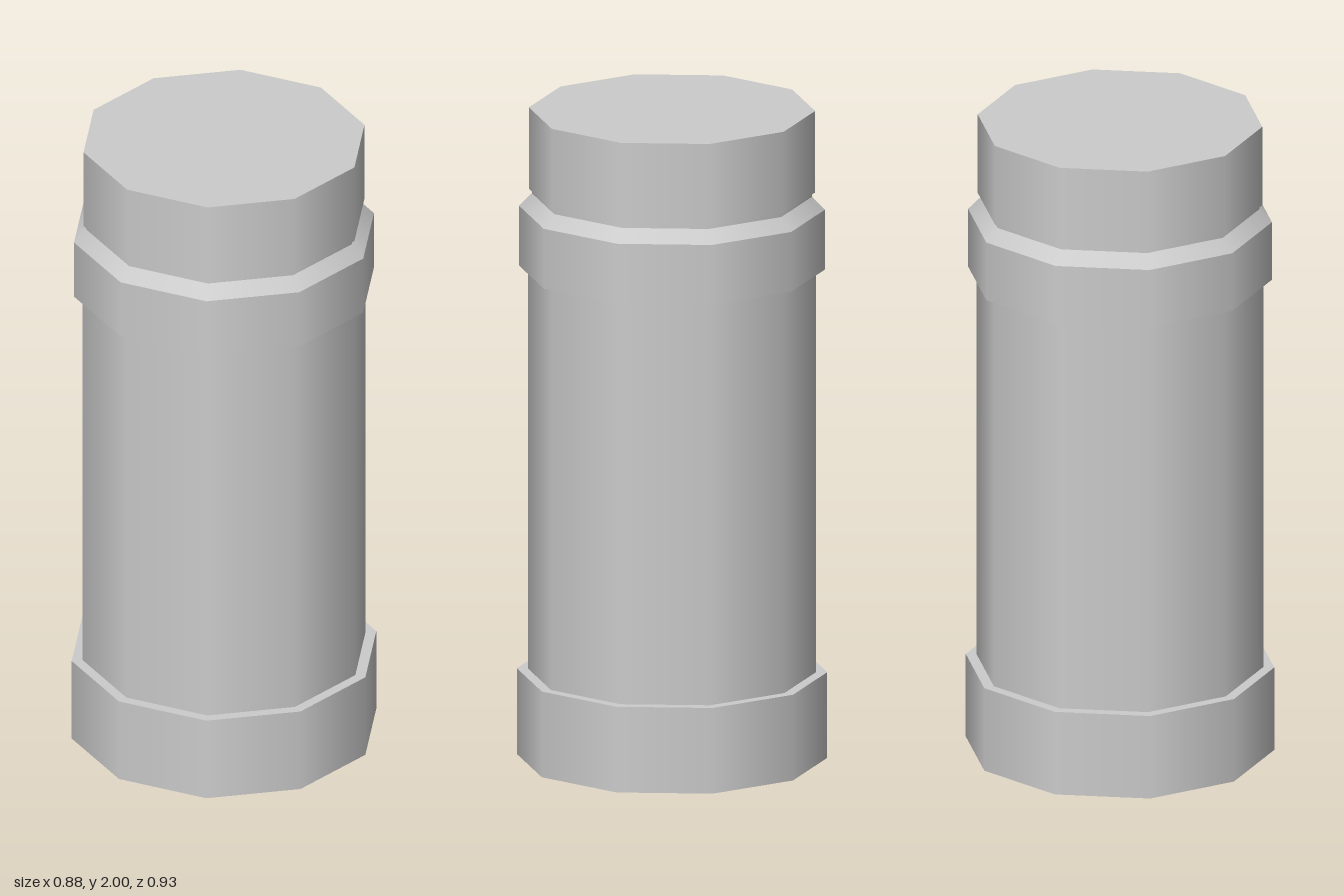
import * as THREE from 'three';

const SIDES = 10;
const material = new THREE.MeshStandardMaterial({ color: 0xcccccc });

// One ten-sided section of the column, with a corner facing the front
function section(name, bottom, top, bottomRadius, topRadius = bottomRadius) {
  const geometry = new THREE.CylinderGeometry(topRadius, bottomRadius, top - bottom, SIDES);
  const mesh = new THREE.Mesh(geometry, material);
  mesh.name = name;
  mesh.position.y = (bottom + top) / 2;
  return mesh;
}

export function createModel() {
  const column = new THREE.Group();
  column.name = 'column';
  column.add(
    section('base', 0, 0.265, 0.465),
    section('shaft', 0.265, 1.51, 0.432),
    section('collar', 1.51, 1.695, 0.458),
    // Sloped shoulder narrowing to the groove below the cap
    section('collarBevel', 1.695, 1.735, 0.458, 0.42),
    section('groove', 1.735, 1.748, 0.42),
    section('cap', 1.748, 2, 0.429),
  );
  return column;
}
